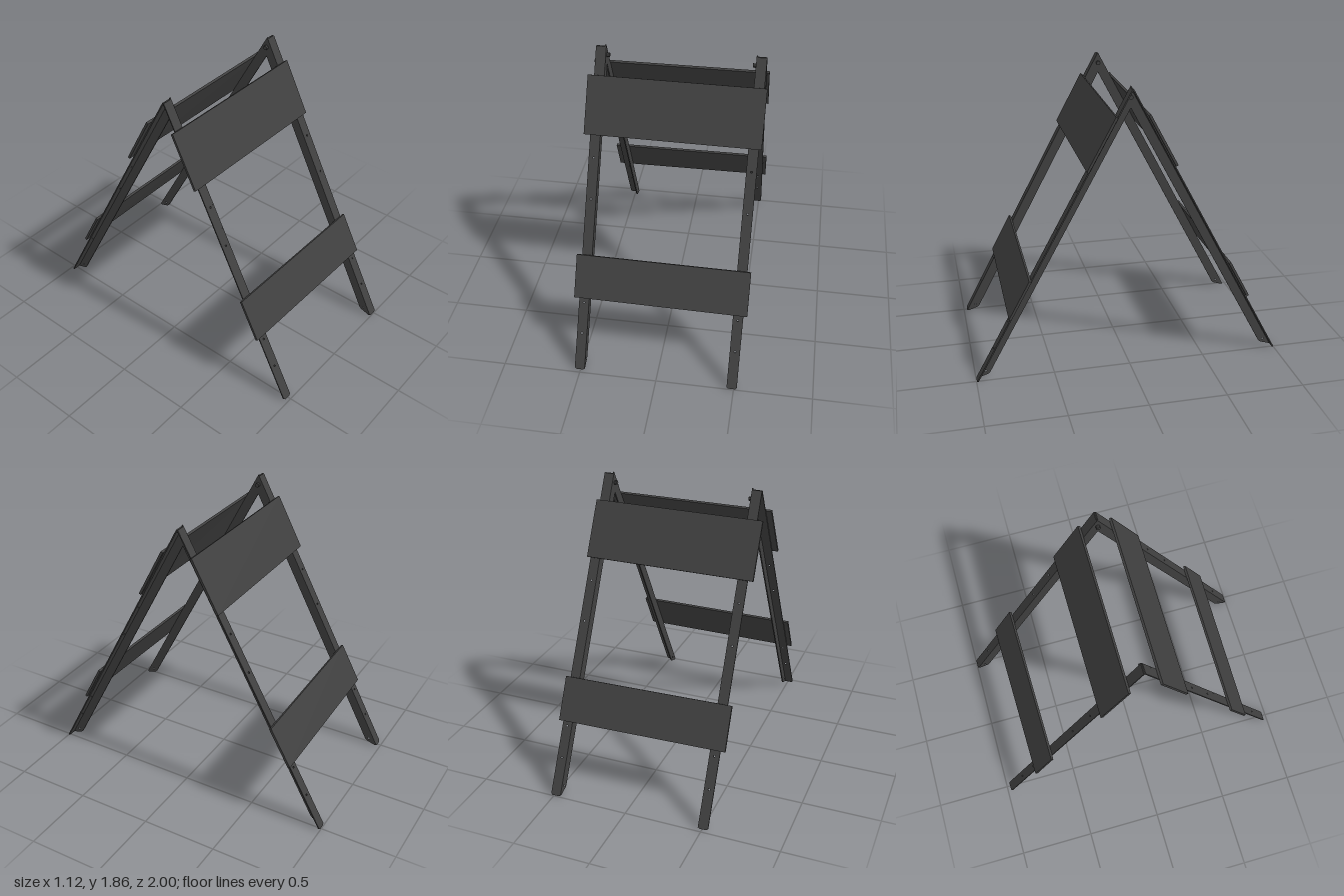
import * as THREE from 'three';

const HEIGHT = 1.86, TILT = Math.atan(1 / HEIGHT), LENGTH = Math.hypot(1, HEIGHT);
const INNER = 0.464, OUTER = 0.529, DEPTH = 0.064, THICK = 0.008;

const material = new THREE.MeshStandardMaterial({ color: 0x404040, flatShading: true });

function extrude(points, holes, depth) {
  const shape = new THREE.Shape(points.map(([x, y]) => new THREE.Vector2(x, y)));
  for (const [x, y] of holes) {
    const hole = new THREE.Path();
    hole.absarc(x, y, 0.006, 0, Math.PI * 2, true);
    shape.holes.push(hole);
  }
  return new THREE.ExtrudeGeometry(shape, { depth, bevelEnabled: false, curveSegments: 5 });
}

// The frame is slightly racked, as a worn folding stand is
function rack(geometry) {
  const p = geometry.attributes.position;
  for (let i = 0; i < p.count; i++) {
    const x = p.getX(i), y = p.getY(i);
    p.setX(i, x - 0.009 + 0.021 * y / HEIGHT);
    p.setZ(i, p.getZ(i) * (0.99 + 0.02 * x));
  }
  geometry.computeVertexNormals();
  return geometry;
}

// Local y runs up the slope, local z points outward
function place(group, name, geometry, back) {
  geometry.rotateX(-TILT).translate(0, 0, 1);
  if (back) geometry.rotateY(Math.PI);
  const mesh = new THREE.Mesh(rack(geometry), material);
  mesh.name = name;
  group.add(mesh);
}

function addLeg(group, side, back) {
  // Outward-facing flange with clipped foot corners and bolt holes
  const a = INNER, b = OUTER, c = 0.01, mid = (a + b) / 2;
  const face = [[a + c, 0.005], [b - c, 0.005], [b, 0.005 + c], [b, LENGTH - 0.012],
    [a, LENGTH - 0.012], [a, 0.005 + c]].map(([x, y]) => [x * side, y]);
  const holes = [0.25, 0.455, 1.135, 1.4].map((s) => [mid * side, s]);
  place(group, 'legFaceFlange', extrude(face, holes, THICK).translate(0, 0, -THICK), back);

  // Inward-running flange, mitred where the two frames meet
  const web = [[0, 0.01], [-0.012, 0.012], [-DEPTH + 0.006, 0.06], [-DEPTH, 0.075],
    [-DEPTH, LENGTH - HEIGHT * DEPTH], [0, LENGTH]];
  const webGeometry = extrude(web, [[-0.034, 0.073]], THICK).rotateY(-Math.PI / 2);
  webGeometry.translate(side > 0 ? INNER + THICK : -INNER, 0, 0);
  place(group, 'legSideFlange', webGeometry, back);
}

function addBoard(group, name, low, high, offset, roll, back) {
  const board = new THREE.BoxGeometry(1.114, high - low, 0.016);
  board.rotateZ(roll).translate(back ? -offset : offset, (low + high) / 2, 0.008);
  place(group, name, board, back);
}

export function createModel() {
  const model = new THREE.Group();
  model.name = 'foldingBarricade';

  for (const back of [false, true]) {
    const frame = new THREE.Group();
    frame.name = back ? 'backFrame' : 'frontFrame';
    for (const side of [-1, 1]) addLeg(frame, side, back);
    addBoard(frame, 'upperBoard', 1.544, 1.918, -0.01, -0.003, back);
    addBoard(frame, 'lowerBoard', 0.488, 0.772, -0.004, back ? 0.008 : 0.002, back);
    model.add(frame);
  }

  // Hinge bolts joining the frames
  for (const side of [-1, 1]) {
    const bolt = new THREE.CylinderGeometry(0.014, 0.014, 0.035, 8).rotateZ(Math.PI / 2);
    bolt.translate(side * (INNER - 0.002), 1.79, 0);
    const mesh = new THREE.Mesh(rack(bolt), material);
    mesh.name = 'hingeBolt';
    model.add(mesh);
  }
  return model;
}
